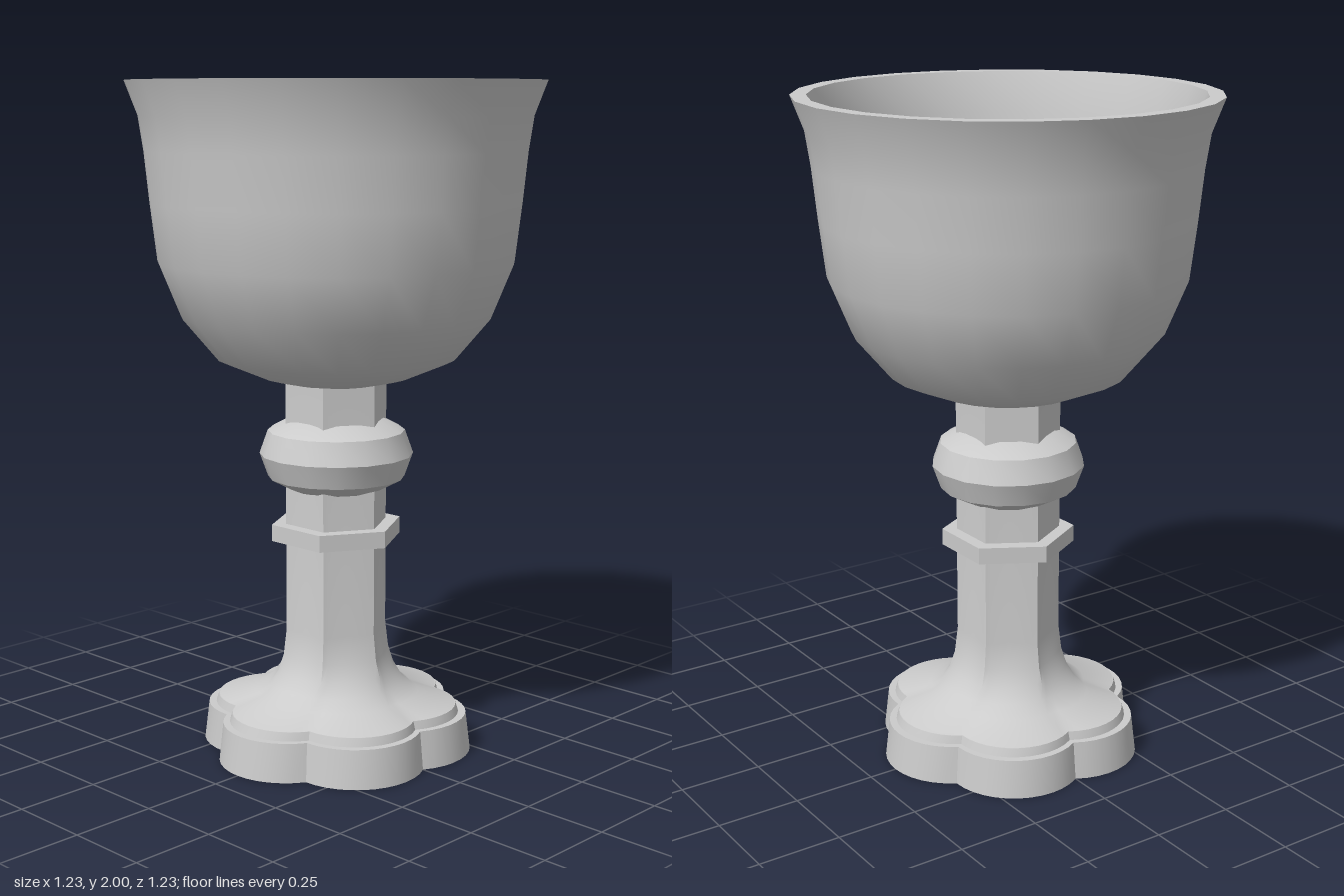
import * as THREE from 'three';
import { toCreasedNormals } from 'three/addons/utils/BufferGeometryUtils.js';

const material = new THREE.MeshStandardMaterial({ color: 0xcccccc });
const STEPS = 72;
const CREASE = 0.6;

// Angle measured from the middle of the nearest of six sectors
function sectorAngle(a) {
  const s = Math.PI / 3;
  return a - Math.round(a / s) * s;
}

// Radius of a hexagon with corners on +z and -z
const hexRadius = (corner) => (a) => corner * Math.cos(Math.PI / 6) / Math.cos(sectorAngle(a));

// Radius of a six-lobed foil: circles of radius r centred at distance c
const foilRadius = (scale) => (a) => {
  const c = 0.21, r = 0.204, t = sectorAngle(a);
  return scale * (c * Math.cos(t) + Math.sqrt(r * r - (c * Math.sin(t)) ** 2));
};

const blend = (f, g, t) => (a) => f(a) * (1 - t) + g(a) * t;

// Skin a stack of [height, radius function] rings, closed at both ends
function loft(levels) {
  const pos = [], index = [];
  for (const [y, radius] of levels) {
    for (let i = 0; i < STEPS; i++) {
      const a = (i / STEPS) * Math.PI * 2;
      pos.push(radius(a) * Math.cos(a), y, radius(a) * Math.sin(a));
    }
  }
  const last = (levels.length - 1) * STEPS;
  const bottom = levels.length * STEPS, top = bottom + 1;
  pos.push(0, levels[0][0], 0, 0, levels[levels.length - 1][0], 0);
  for (let i = 0; i < STEPS; i++) {
    const j = (i + 1) % STEPS;
    for (let k = 0; k < last; k += STEPS) {
      index.push(k + i, k + STEPS + i, k + j, k + j, k + STEPS + i, k + STEPS + j);
    }
    index.push(bottom, i, j, top, last + j, last + i);
  }
  const geo = new THREE.BufferGeometry();
  geo.setAttribute('position', new THREE.Float32BufferAttribute(pos, 3));
  geo.setIndex(index);
  return toCreasedNormals(geo, CREASE);
}

function lathe(profile, segments) {
  const points = profile.map(([x, y]) => new THREE.Vector2(x, y));
  return toCreasedNormals(new THREE.LatheGeometry(points, segments), CREASE);
}

export function createModel() {
  const group = new THREE.Group();
  const add = (name, geometry) => {
    const mesh = new THREE.Mesh(geometry, material);
    mesh.name = name;
    group.add(mesh);
  };

  // Lobed foot in two tiers
  add('footPlinth', loft([[0, foilRadius(1)], [0.115, foilRadius(0.965)]]));
  add('footStep', loft([[0.115, foilRadius(0.91)], [0.14, foilRadius(0.89)]]));

  // Stem: lobed flare melting into a hexagonal shaft
  const hex = hexRadius(0.156), foil = foilRadius(0.885);
  const flare = [[0.14, 1], [0.17, 0.5], [0.2, 0.3], [0.24, 0.16], [0.29, 0.06], [0.37, 0]];
  add('stem', loft([
    ...flare.map(([y, t]) => [y, blend(hex, foil, t)]),
    [1.13, hex],
  ]));

  // Hexagonal collar and round knop on the stem
  add('collar', loft([[0.645, hexRadius(0.2)], [0.695, hexRadius(0.2)]]));
  add('knop', lathe([
    [0, 0.8], [0.14, 0.8], [0.205, 0.835], [0.23, 0.905],
    [0.205, 0.975], [0.14, 1.01], [0, 1.01],
  ], 16));

  // Bowl: outer wall up to the lip, then down the inside
  add('bowl', lathe([
    [0, 1.12], [0.14, 1.12], [0.225, 1.14], [0.355, 1.195], [0.46, 1.32],
    [0.525, 1.48], [0.545, 1.65], [0.56, 1.8], [0.575, 1.9], [0.613, 2],
    [0.567, 2], [0.53, 1.88], [0.515, 1.7], [0.49, 1.5], [0.43, 1.35],
    [0.33, 1.235], [0.2, 1.175], [0, 1.155],
  ], 24));

  return group;
}
